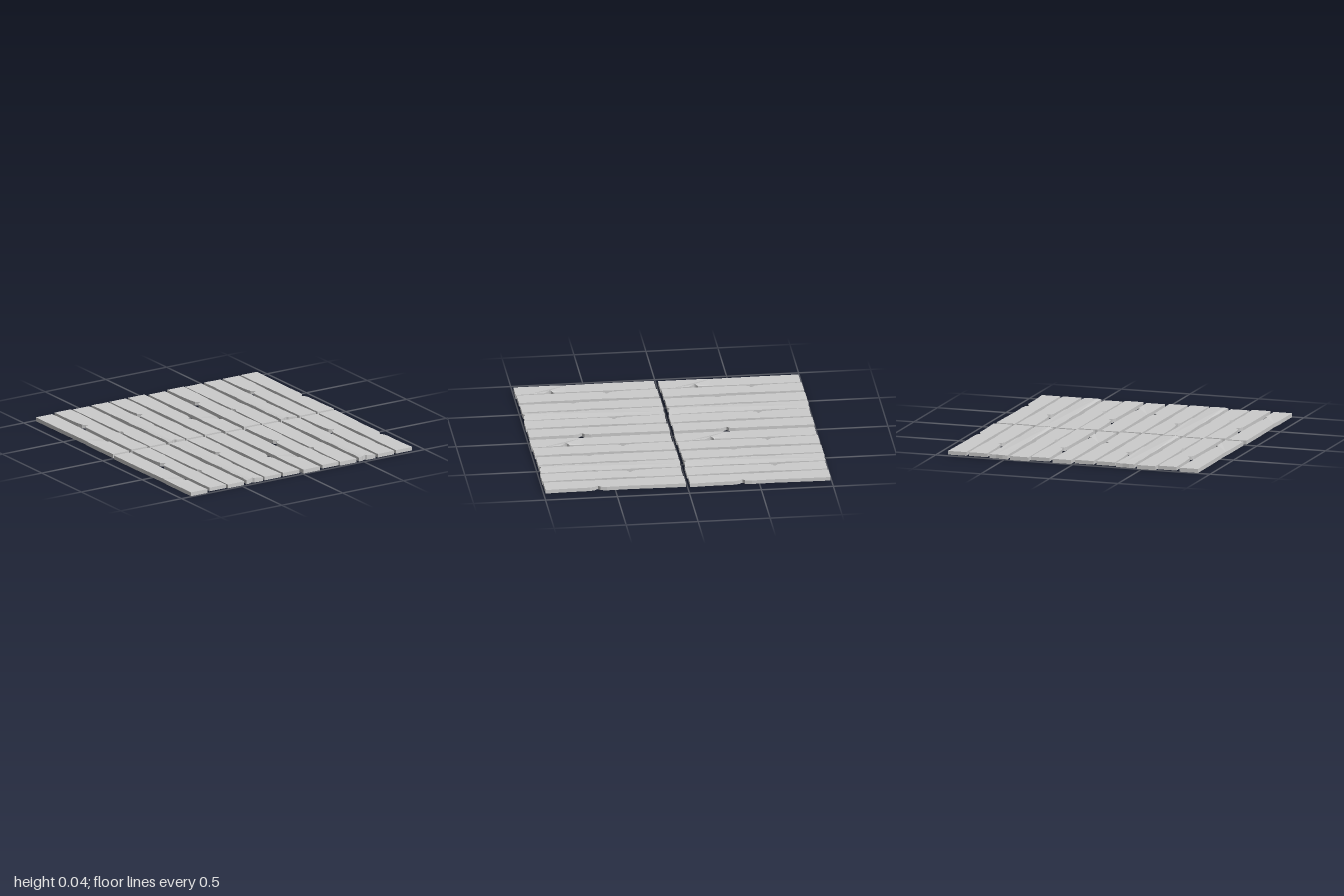
import * as THREE from 'three';

const HALF_W = 0.067, HALF_L = 0.488;

// Plank kinds: edges are [z, inset] pairs from back to front; y is the underside height.
// lift raises the top corners close to a knot or split at [x, z].
const KINDS = {
  cornerKnot: {
    y: 0, t: 0.028, dz: 0.004, lift: [0.05, 0.255, 0.008],
    left: [[-0.2, 0], [0.12, 0.005], [0.2, 0]],
    right: [[-0.25, 0.002], [0, 0.004], [0.15, 0.008], [0.225, 0.012], [0.24, 0.03], [0.25, 0.033],
      [0.262, 0.014], [0.29, 0.008], [0.4, 0.003]],
    front: [], back: [],
  },
  deepKnot: {
    y: 0.007, t: 0.026, dz: 0, lift: null,
    left: [[-0.3, 0.002], [-0.2, 0.008], [-0.16, 0.015], [-0.135, 0.04], [-0.128, 0.038], [-0.12, 0.018],
      [-0.09, 0.004], [0.1, 0]],
    right: [[-0.3, 0], [-0.12, 0.008], [0.05, 0.01], [0.15, 0.004], [0.3, 0.008], [0.42, 0.002]],
    front: [], back: [],
  },
  smallKnot: {
    y: 0, t: 0.028, dz: -0.004, lift: null,
    left: [[-0.2, 0.001], [0.09, 0.003], [0.105, 0.014], [0.12, 0.021], [0.135, 0.012], [0.155, 0.003]],
    right: [[-0.25, 0.001], [-0.1, 0.005], [0.02, 0.009], [0.08, 0.003], [0.3, 0.001]],
    front: [], back: [],
  },
  splitEnd: {
    y: 0.003, t: 0.028, dz: -0.002, lift: [-0.012, 0.48, 0.006],
    left: [[-0.38, 0.006], [-0.3, 0.002], [-0.1, 0.009], [0.02, 0.004], [0.15, 0.01], [0.3, 0.003], [0.42, 0.008]],
    right: [[-0.4, 0], [-0.2, 0.006], [-0.1, 0.002], [0.08, 0.001], [0.12, 0.01], [0.25, 0.006], [0.4, 0.004]],
    front: [[-0.035, 0.002], [-0.026, 0.012], [-0.01, 0.014], [0, 0.003]],
    back: [[0.02, 0.003], [-0.03, -0.003]],
  },
  sideKnot: {
    y: 0.007, t: 0.026, dz: 0, lift: null,
    left: [[-0.3, 0], [0, 0.005], [0.2, 0.002]],
    right: [[-0.3, 0.003], [-0.1, 0.008], [0.06, 0.005], [0.105, 0.014], [0.12, 0.034], [0.128, 0.032],
      [0.145, 0.016], [0.18, 0.007], [0.35, 0.006]],
    front: [], back: [],
  },
};

// Closed outline around the plank, extruded upward, with a slight lift near damage
function plankGeometry({ y, t, lift, left, right, front, back }) {
  const outline = [
    [-HALF_W, -HALF_L],
    ...left.map(([z, d]) => [-HALF_W + d, z]),
    [-HALF_W, HALF_L],
    ...front.map(([x, d]) => [x, HALF_L - d]),
    [HALF_W, HALF_L],
    ...right.slice().reverse().map(([z, d]) => [HALF_W - d, z]),
    [HALF_W, -HALF_L],
    ...back.map(([x, d]) => [x, -HALF_L + d]),
  ].map(([x, z]) => new THREE.Vector2(x, -z));
  const geo = new THREE.ExtrudeGeometry(new THREE.Shape(outline), { depth: t, bevelEnabled: false });
  geo.rotateX(-Math.PI / 2).translate(0, y, 0);
  if (lift) {
    const p = geo.attributes.position;
    for (let i = 0; i < p.count; i++) {
      const near = Math.hypot(p.getX(i) - lift[0], p.getZ(i) - lift[1]) < 0.03;
      if (near && p.getY(i) > y + t / 2) p.setY(i, p.getY(i) + lift[2]);
    }
    geo.computeVertexNormals();
  }
  return geo;
}

export function createModel() {
  const floor = new THREE.Group();
  floor.name = 'plankFloor';
  const material = new THREE.MeshStandardMaterial({ color: 0xcccccc, flatShading: true });
  const geometries = {};
  for (const kind in KINDS) geometries[kind] = plankGeometry(KINDS[kind]);

  // One row of twelve planks: kind and centre x
  const row = [
    ['cornerKnot', -0.841], ['deepKnot', -0.686], ['smallKnot', -0.533], ['splitEnd', -0.38],
    ['deepKnot', -0.235], ['sideKnot', -0.081], ['cornerKnot', 0.085], ['deepKnot', 0.241],
    ['smallKnot', 0.391], ['splitEnd', 0.544], ['deepKnot', 0.695], ['sideKnot', 0.846],
  ];
  const rows = [['backRow', 0, -0.504], ['frontRow', -0.009, 0.5]];
  for (const [name, dx, z] of rows) {
    const group = new THREE.Group();
    group.name = name;
    group.position.set(dx, 0, z);
    row.forEach(([kind, x], i) => {
      const plank = new THREE.Mesh(geometries[kind], material);
      plank.name = 'plank' + (i + 1);
      // the fifth and eleventh planks sit a little further forward
      plank.position.set(x, 0, KINDS[kind].dz + (i === 4 || i === 10 ? 0.004 : 0));
      group.add(plank);
    });
    floor.add(group);
  }
  return floor;
}
